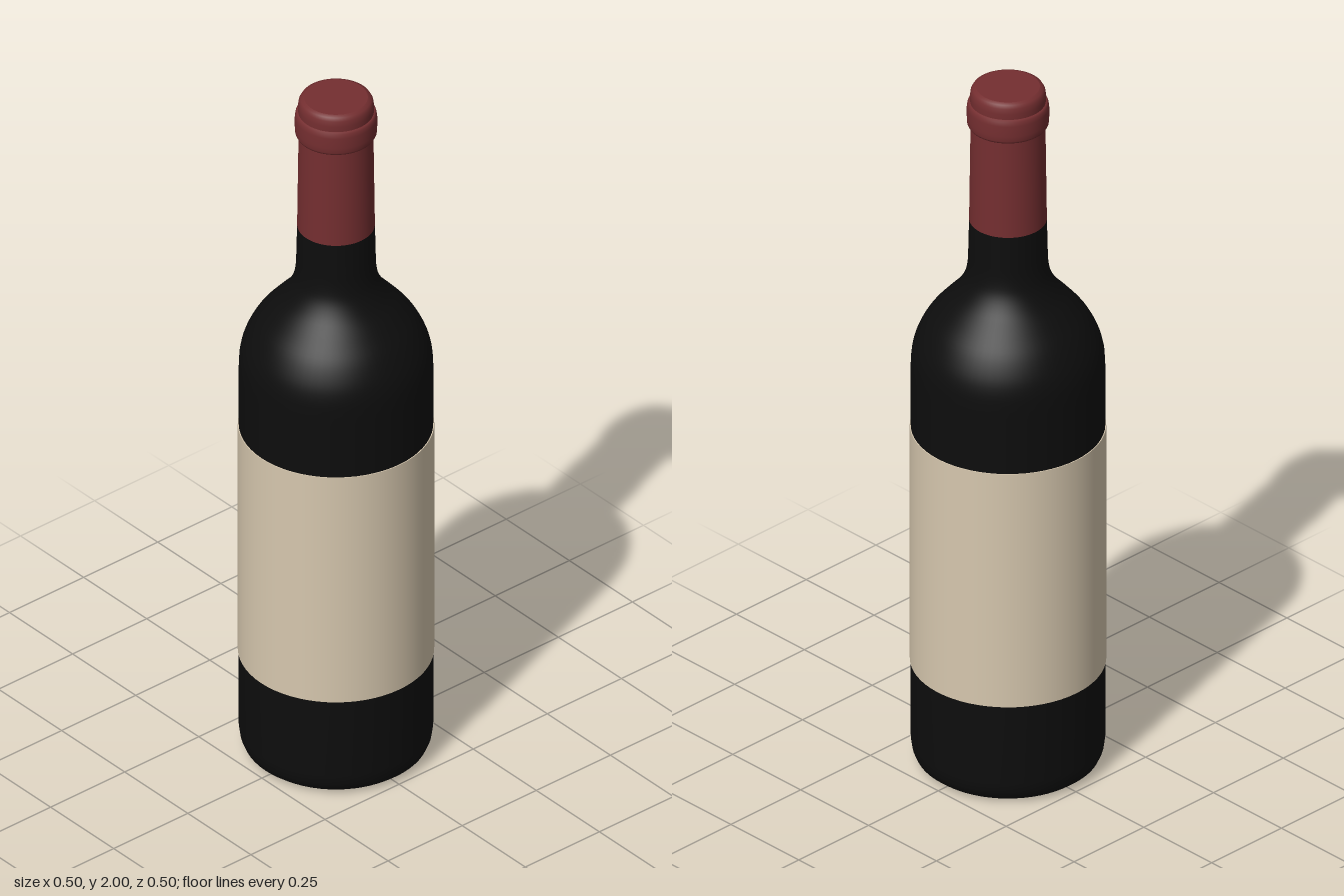
import * as THREE from 'three';

const SEGMENTS = 64;
const material = (name, color) => {
  const m = new THREE.MeshStandardMaterial({ color });
  m.name = name;
  return m;
};
const points = (list) => list.map(([r, y]) => new THREE.Vector2(r, y));

// Revolves a profile running from the bottom to the top; repeated points make crisp edges.
function turned(name, profile, mat) {
  const mesh = new THREE.Mesh(new THREE.LatheGeometry(profile, SEGMENTS), mat);
  mesh.name = name;
  return mesh;
}

export function createModel() {
  const glass = material('black glass', 0x0d0d0d);
  const paper = material('cream paper', 0xd6c7ae);
  const foil = material('dark red foil', 0x742e30);
  const bottle = new THREE.Group();
  bottle.name = 'wineBottle';

  // Hollow underside, rounded heel and straight body
  const base = points([
    [0, 0.07], [0.06, 0.065], [0.11, 0.045], [0.15, 0.018], [0.175, 0.004], [0.2, 0],
    [0.222, 0.005], [0.238, 0.018], [0.246, 0.037], [0.25, 0.065], [0.25, 0.295], [0.25, 1.15],
  ]);
  // Shoulder sweeping into the neck
  const shoulder = new THREE.SplineCurve(points([
    [0.25, 1.17], [0.247, 1.215], [0.235, 1.26], [0.209, 1.31], [0.172, 1.355],
    [0.136, 1.395], [0.113, 1.435], [0.104, 1.475], [0.102, 1.52],
  ])).getPoints(32);
  bottle.add(turned('glassBody', [...base, ...shoulder, ...points([[0.1, 1.606]])], glass));

  // Label wrapped all the way round, with thin paper edges
  bottle.add(turned('label', points([
    [0.249, 0.295], [0.2525, 0.295], [0.2525, 0.295],
    [0.2525, 0.99], [0.2525, 0.99], [0.249, 0.99],
  ]), paper));

  // Foil capsule: sleeve, raised lip and rounded top
  bottle.add(turned('foilSleeve', points([
    [0.096, 1.605], [0.1, 1.605], [0.1, 1.605], [0.096, 1.9],
  ]), foil));
  bottle.add(turned('foilLip', points([
    [0.094, 1.889], [0.102, 1.889], [0.105, 1.895], [0.106, 1.91], [0.106, 1.94],
    [0.104, 1.952], [0.1, 1.956], [0.094, 1.957],
  ]), foil));
  bottle.add(turned('foilTop', points([
    [0.097, 1.95], [0.098, 1.972], [0.096, 1.987], [0.091, 1.996], [0.082, 2], [0.082, 2], [0, 2],
  ]), foil));

  return bottle;
}
